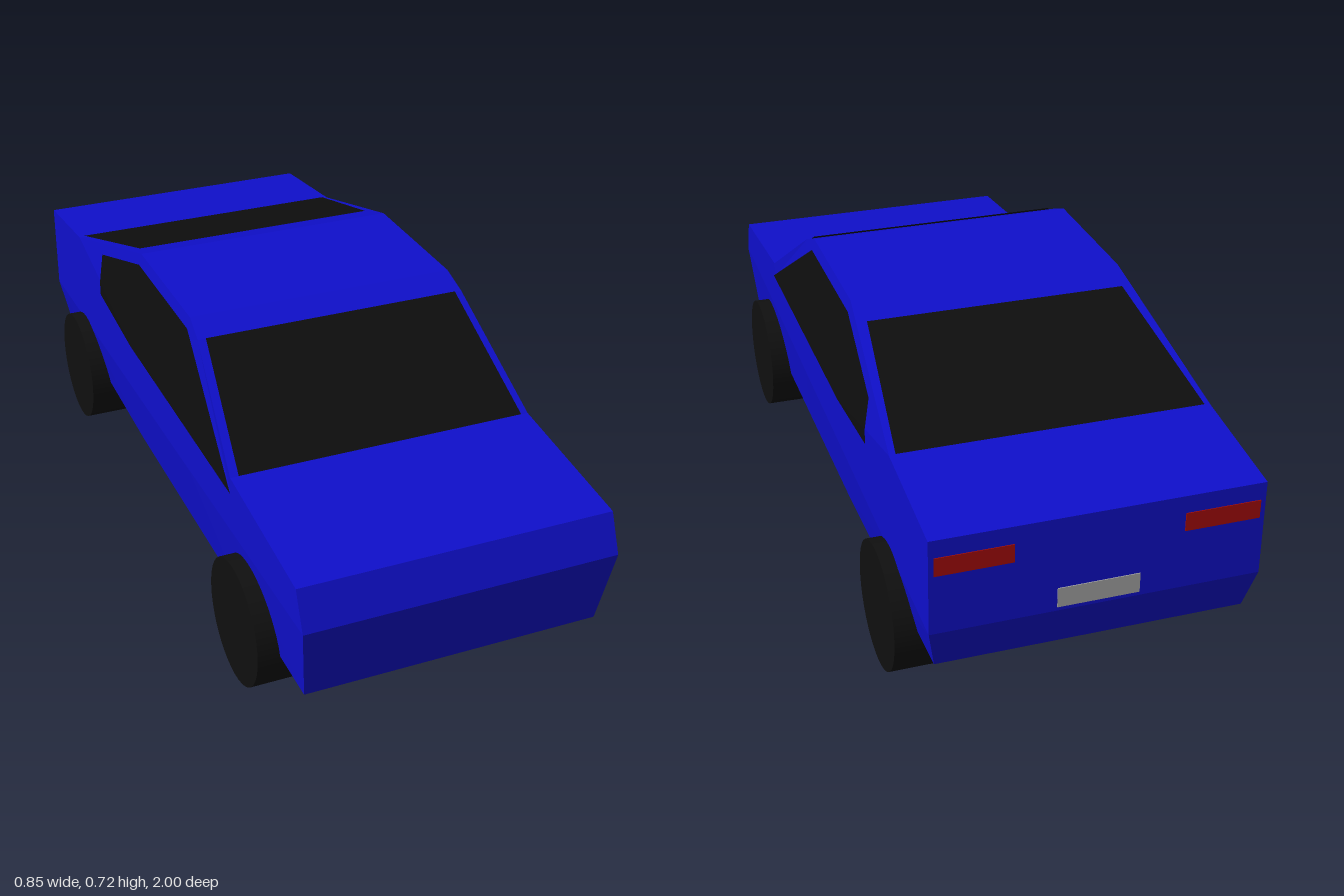
import * as THREE from 'three';

const paint = new THREE.MeshStandardMaterial({ color: 0x0f0fcc, flatShading: true });
const glass = new THREE.MeshStandardMaterial({ color: 0x0e0e0e, flatShading: true, side: THREE.DoubleSide });
const rubber = new THREE.MeshStandardMaterial({ color: 0x101010 });
const red = new THREE.MeshStandardMaterial({ color: 0xaa0a0a });
const grey = new THREE.MeshStandardMaterial({ color: 0xaaaaaa });

function meshFromPoints(name, points, material) {
  const geometry = new THREE.BufferGeometry();
  geometry.setAttribute('position', new THREE.Float32BufferAttribute(points.flat(), 3));
  geometry.computeVertexNormals();
  const mesh = new THREE.Mesh(geometry, material);
  mesh.name = name;
  return mesh;
}

// Flat-sided pane from a convex outline
function pane(name, outline) {
  const tris = [];
  for (let i = 1; i < outline.length - 1; i++) tris.push(outline[0], outline[i], outline[i + 1]);
  return meshFromPoints(name, tris, glass);
}

function box(name, size, position, material) {
  const mesh = new THREE.Mesh(new THREE.BoxGeometry(...size), material);
  mesh.position.set(...position);
  mesh.name = name;
  return mesh;
}

// Body: cross-sections from nose to tail, joined into one shell
function createBody() {
  const W = 0.39;
  // z, floor y, mid crease y, belt y, top y, top half width
  const stations = [
    [0.96, 0.155, 0.355, 0.45, 0.45, W],
    [0.56, 0.155, 0.341, 0.45, 0.49, W],
    [0.25, 0.155, 0.331, 0.45, 0.69, 0.355],
    [0.18, 0.155, 0.328, 0.45, 0.718, 0.35],
    [-0.21, 0.155, 0.316, 0.45, 0.718, 0.35],
    [-0.70, 0.174, 0.3, 0.5, 0.565, W],
    [-1, 0.185, 0.29, 0.53, 0.53, W],
  ];
  const last = stations.length - 1;
  const rings = stations.map(([z, floor, mid, belt, top, w], i) => {
    const zFloor = i === last ? -0.97 : z;
    const zMid = i === 0 ? 1 : z;
    const half = [[0.37, floor, zFloor], [W, mid, zMid], [W, belt, z], [w, top, z]];
    return [...half, ...half.map(([x, y, zz]) => [-x, y, zz]).reverse()];
  });
  const tris = [];
  for (let i = 0; i < last; i++) {
    for (let j = 0; j < 8; j++) {
      const k = (j + 1) % 8;
      const a = rings[i][j], b = rings[i][k], c = rings[i + 1][k], d = rings[i + 1][j];
      if (j < 4) tris.push(a, d, c, a, c, b);
      else tris.push(a, d, b, b, d, c);
    }
  }
  // Nose and tail faces
  for (let k = 0; k < 2; k++) {
    const [a, b, c, d] = [k, k + 1, 6 - k, 7 - k].map((n) => rings[0][n]);
    tris.push(a, b, c, a, c, d);
    const [e, f, g, h] = [k, k + 1, 6 - k, 7 - k].map((n) => rings[last][n]);
    tris.push(e, g, f, e, h, g);
  }
  return meshFromPoints('body', tris, paint);
}

export function createModel() {
  const car = new THREE.Group();
  car.name = 'car';
  car.add(createBody());

  // Windshield and rear window, just proud of the shell
  const lift = 0.003;
  car.add(pane('windshield', [
    [-0.37, 0.49 + lift, 0.56 + lift], [0.37, 0.49 + lift, 0.56 + lift],
    [0.335, 0.69 + lift, 0.25 + lift], [-0.335, 0.69 + lift, 0.25 + lift],
  ]));
  car.add(pane('rearWindow', [
    [-0.33, 0.693 + lift, -0.29], [0.33, 0.693 + lift, -0.29],
    [0.375, 0.565 + lift, -0.70], [-0.375, 0.565 + lift, -0.70],
  ]));

  for (const side of [1, -1]) {
    const label = side > 0 ? 'left' : 'right';
    const p = (x, y, z) => [side * (x + lift), y, z];

    // Side window in a front and a rear pane, following the shell
    const windows = new THREE.Group();
    windows.name = label + 'SideWindow';
    const sill = p(0.39, 0.45, -0.21), header = p(0.355, 0.688, -0.21);
    windows.add(pane('frontPane', [sill, p(0.39, 0.45, 0.565), p(0.355, 0.688, 0.18), header]));
    windows.add(pane('rearPane', [
      sill, p(0.39, 0.478, -0.49), p(0.39, 0.516, -0.49), p(0.378, 0.6, -0.49), header,
    ]));
    car.add(windows);

    // Wheels
    for (const [end, z] of [['Front', 0.66], ['Rear', -0.685]]) {
      const wheel = new THREE.Mesh(new THREE.CylinderGeometry(0.157, 0.157, 0.13, 40), rubber);
      wheel.rotation.z = Math.PI / 2;
      wheel.position.set(side * 0.36, 0.157, z);
      wheel.name = label + end + 'Wheel';
      car.add(wheel);
    }

    car.add(box(label + 'TailLight', [0.18, 0.046, 0.006], [side * 0.288, 0.463, -0.999], red));
  }
  car.add(box('rearPlate', [0.194, 0.05, 0.006], [0, 0.325, -0.999], grey));
  return car;
}
